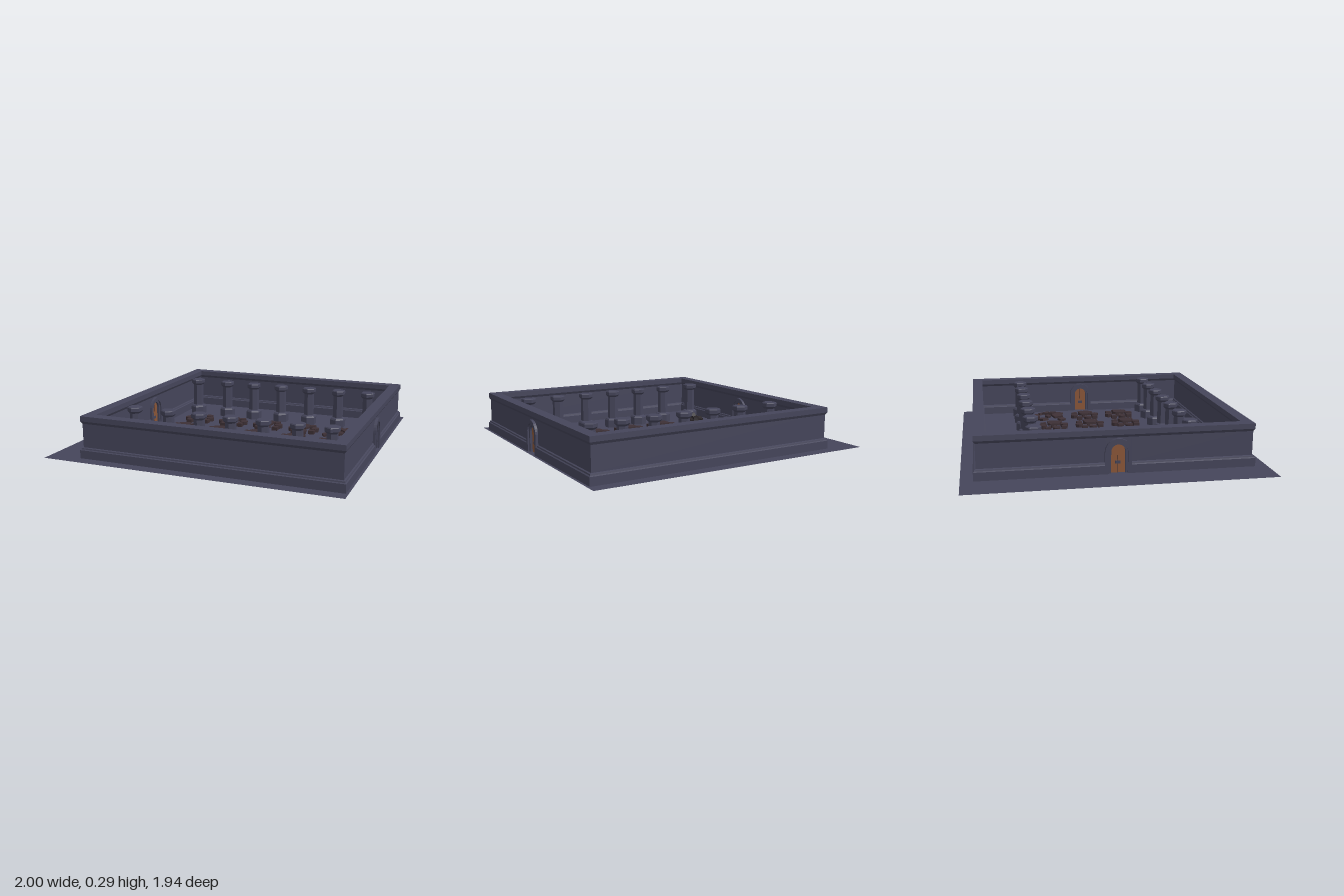
import * as THREE from 'three';

const mat = (name, color, extra = {}) => new THREE.MeshStandardMaterial({ name, color, flatShading: true, ...extra });

// Hall centre line: half sizes and x offset
const HX = 0.835, HZ = 0.845, CX = 0.104;

export function createModel() {
  const stone = mat('stone', 0x45455a);
  const floorStone = mat('floorStone', 0x45455a, { side: THREE.DoubleSide });
  const wood = mat('darkWood', 0x3d3035);
  const rubble = mat('charredRubble', 0x272225);
  const doorWood = mat('doorWood', 0x8a5638);

  const model = new THREE.Group();
  model.name = 'columnedHall';
  const group = (name, parent) => {
    const g = new THREE.Group();
    g.name = name;
    parent.add(g);
    return g;
  };
  const add = (parent, name, geo, material, x = 0, y = 0, z = 0) => {
    const m = new THREE.Mesh(geo, material);
    m.name = name;
    m.position.set(x, y, z);
    parent.add(m);
    return m;
  };

  // Floor sheet
  add(model, 'floor', new THREE.PlaneGeometry(2, 1.94).rotateX(-Math.PI / 2), floorStone);

  // Half of the hall wall: a profile [offset, y] swept round two corners
  function sweepHalf(profile, zStart) {
    const path = [[HX, zStart, 1, 0], [HX, HZ, 1, 1], [-HX, HZ, -1, 1], [-HX, zStart, -1, 0]];
    const at = (p, [d, y]) => [p[0] + p[2] * d, y, p[1] + p[3] * d];
    const pos = [];
    for (let i = 0; i < 3; i++) {
      profile.forEach((a, j) => {
        const b = profile[(j + 1) % profile.length];
        const A = at(path[i], a), B = at(path[i], b), A2 = at(path[i + 1], a), B2 = at(path[i + 1], b);
        pos.push(...A, ...B, ...A2, ...B, ...B2, ...A2);
      });
    }
    const g = new THREE.BufferGeometry();
    g.setAttribute('position', new THREE.Float32BufferAttribute(pos, 3));
    g.computeVertexNormals();
    return g;
  }
  const bothSides = (half) => [...half, ...half.map(([d, y]) => [-d, y]).reverse()];
  const wallProfile = bothSides([[0.045, 0], [0.045, 0.055], [0.038, 0.06], [0.036, 0.068], [0.027, 0.072], [0.027, 0.245]]);
  const capProfile = bothSides([[0.027, 0.23], [0.037, 0.247], [0.037, 0.281]]);
  const walls = group('walls', model);
  walls.position.x = CX;
  for (const turn of [0, Math.PI]) {
    add(walls, 'wall', sweepHalf(wallProfile, 0.085), stone).rotation.y = turn;
    add(walls, 'wallCap', sweepHalf(capProfile, 0), stone).rotation.y = turn;
  }

  // Arched doorways in the two side walls
  const SPRING = 0.14;
  const archPoints = (w) => {
    const pts = [new THREE.Vector2(w, 0)];
    for (let i = 0; i <= 14; i++) {
      const a = (i / 14) * Math.PI;
      pts.push(new THREE.Vector2(Math.cos(a) * w, SPRING + Math.sin(a) * w));
    }
    pts.push(new THREE.Vector2(-w, 0));
    return pts;
  };
  const extrude = (pts, depth) => new THREE.ExtrudeGeometry(new THREE.Shape(pts), { depth, bevelEnabled: false })
    .translate(0, 0, -depth / 2).rotateY(Math.PI / 2);
  const ring = (outer, inner, depth) => extrude([...outer, ...archPoints(inner).reverse()], depth);
  const rect = [[0.0855, 0], [0.0855, 0.245], [-0.0855, 0.245], [-0.0855, 0]].map((p) => new THREE.Vector2(...p));
  for (const side of [-1, 1]) {
    const d = group(side > 0 ? 'leftDoorway' : 'rightDoorway', model);
    d.position.x = CX + side * HX;
    add(d, 'doorwayWall', ring(rect, 0.07, 0.054), stone);
    add(d, 'archMoulding', ring(archPoints(0.085), 0.06, 0.09), stone);
    add(d, 'archJamb', ring(archPoints(0.061), 0.045, 0.066), stone);
    add(d, 'doorLeaves', extrude(archPoints(0.046), 0.034), doorWood);
    add(d, 'doorGap', new THREE.BoxGeometry(0.036, 0.18, 0.002), wood, 0, 0.09, 0);
    add(d, 'doorLatch', new THREE.BoxGeometry(0.044, 0.018, 0.034), stone, 0, 0.068, 0);
  }

  // Hexagonal columns
  const columnProfile = [[0, 0], [0.06, 0], [0.06, 0.055], [0.052, 0.066], [0.039, 0.072], [0.037, 0.235],
    [0.052, 0.25], [0.052, 0.272], [0.046, 0.278], [0, 0.278]].map((p) => new THREE.Vector2(...p));
  const columnGeo = new THREE.LatheGeometry(columnProfile, 6);
  const columns = group('columns', model);
  for (const x of [-0.58, -0.325, -0.1, 0.125, 0.35, 0.578, 0.8])
    for (const z of [-0.508, 0.508]) add(columns, 'column', columnGeo, stone, x, 0, z);

  // Tables, each ringed by four round and four square stools
  const cut = 0.014, h = 0.045;
  const tableTop = [[h, h - cut], [h - cut, h], [cut - h, h], [-h, h - cut], [-h, cut - h], [cut - h, -h],
    [h - cut, -h], [h, cut - h]].map((p) => new THREE.Vector2(...p));
  const tableGeo = new THREE.ExtrudeGeometry(new THREE.Shape(tableTop), { depth: 0.014, bevelEnabled: false })
    .rotateX(-Math.PI / 2);
  const legGeo = new THREE.CylinderGeometry(0.018, 0.026, 0.03, 8);
  const roundGeo = new THREE.CylinderGeometry(0.03, 0.028, 0.026, 10);
  const squareGeo = new THREE.BoxGeometry(0.042, 0.026, 0.042);
  const tables = group('tables', model);
  [-0.28, 0, 0.28].forEach((z, row) => {
    [-0.465, -0.183, 0.098, 0.38, 0.66].forEach((x, col) => {
      if ((row === 0 && col === 4) || (row === 2 && col === 0)) return;
      const t = group('tableSet', tables);
      t.position.set(x, 0, z);
      add(t, 'tableTop', tableGeo, wood, 0, 0.028, 0);
      add(t, 'tableLeg', legGeo, wood, 0, 0.015, 0);
      for (let k = 0; k < 4; k++) {
        const s = group('stoolPair', t);
        s.rotation.y = (k * Math.PI) / 2;
        add(s, 'roundStool', roundGeo, wood, -0.014, 0.013, -0.083);
        add(s, 'squareStool', squareGeo, wood, -0.076, 0.013, -0.05);
      }
    });
  });

  // Broken furniture: x, z, width, depth, turn, height
  const broken = group('brokenFurniture', model);
  [[0.59, -0.345, 0.085, 0.055, 0.5, 0.02], [0.695, -0.385, 0.055, 0.04, 0.2, 0.02],
    [0.762, -0.347, 0.03, 0.036, 0.6, 0.02], [0.638, -0.3, 0.036, 0.034, 0.7, 0.03],
    [0.715, -0.29, 0.08, 0.07, -0.6, 0.035], [0.655, -0.228, 0.075, 0.075, 0.4, 0.03],
    [0.733, -0.215, 0.085, 0.06, 0.4, 0.025], [0.57, -0.197, 0.042, 0.05, 0.5, 0.02],
    [0.685, -0.262, 0.07, 0.035, -0.6, 0.045]].forEach(([x, z, w, d, turn, top], i) => {
    const m = add(broken, 'brokenPiece', new THREE.BoxGeometry(w, 0.016, d), wood, x, top - 0.006, z);
    m.rotation.set(0, turn, i % 2 ? 0.12 : -0.12);
  });

  // Heap of charred rocks: x, y, z, radius
  const heap = group('rubbleHeap', model);
  heap.position.set(-0.467, 0, 0.298);
  [[-0.045, 0.03, -0.04, 0.032], [0.045, 0.03, -0.04, 0.032], [0, 0.035, -0.055, 0.034],
    [-0.035, 0.03, 0.005, 0.034], [0.035, 0.03, 0.005, 0.034], [0, 0.055, -0.01, 0.036],
    [-0.018, 0.025, 0.05, 0.03], [0.02, 0.025, 0.05, 0.03], [0, 0.02, 0.068, 0.024]].forEach(([x, y, z, r], i) => {
    add(heap, 'rock', new THREE.DodecahedronGeometry(r), rubble, x, y, z).rotation.set(i, i * 0.7, 0);
  });

  return model;
}
